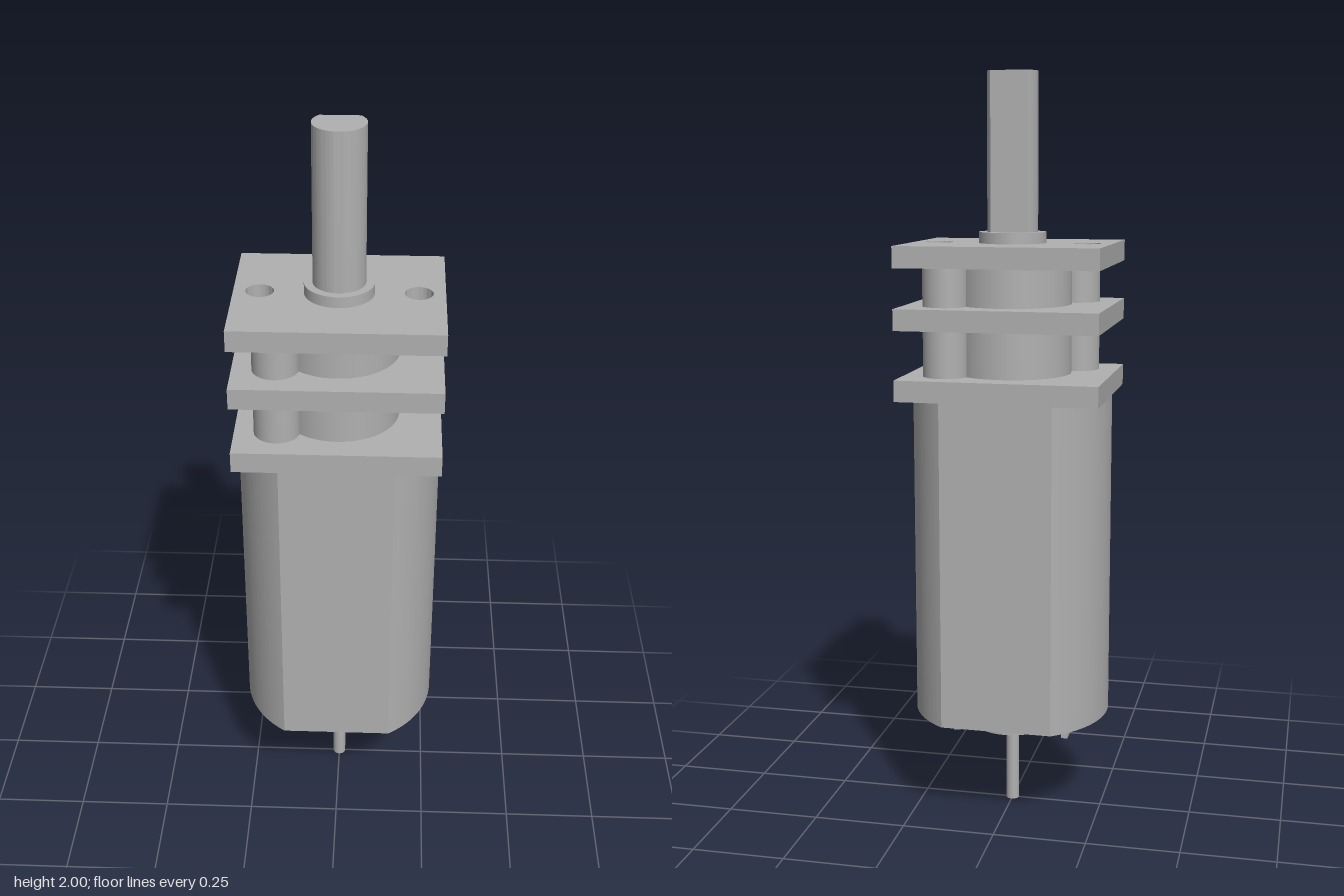
import * as THREE from 'three';
import { toCreasedNormals } from 'three/addons/utils/BufferGeometryUtils.js';

export function createModel() {
  const group = new THREE.Group();
  const metal = new THREE.MeshStandardMaterial({ color: 0xb0b0b0 });
  metal.name = 'grey metal';

  const add = (name, geometry, x = 0, y = 0, z = 0) => {
    const mesh = new THREE.Mesh(geometry, metal);
    mesh.name = name;
    mesh.position.set(x, y, z);
    group.add(mesh);
  };
  // Upright cylinder between two heights
  const cylinder = (name, r, y0, y1, x = 0, z = 0) =>
    add(name, new THREE.CylinderGeometry(r, r, y1 - y0, 64), x, (y0 + y1) / 2, z);
  // Plan outline extruded upwards (shape y becomes -z)
  const extrude = (name, shape, y0, y1) => {
    const g = new THREE.ExtrudeGeometry(shape, { depth: y1 - y0, bevelEnabled: false, curveSegments: 48 });
    g.rotateX(-Math.PI / 2);
    add(name, toCreasedNormals(g, 0.4), 0, y0);
  };

  // Round motor can with flats at front and back
  const canRadius = 0.267, canFlat = 0.222;
  const a = Math.asin(canFlat / canRadius);
  const can = new THREE.Shape();
  can.absarc(0, 0, canRadius, -a, a, false);
  can.absarc(0, 0, canRadius, Math.PI - a, Math.PI + a, false);
  can.closePath();
  extrude('motorCan', can, 0.28, 1.16);

  // Rear bearing, rear shaft and terminals
  cylinder('rearBearing', 0.11, 0.227, 0.28);
  cylinder('rearShaft', 0.018, 0, 0.227);
  for (const side of [-1, 1]) {
    add(side > 0 ? 'leftTerminal' : 'rightTerminal',
      new THREE.BoxGeometry(0.018, 0.08, 0.067), side * 0.153, 0.24, 0);
  }

  // Gearbox plates; only the top one has mounting holes
  const w = 0.267, d = 0.222;
  add('lowerPlate', new THREE.BoxGeometry(2 * w, 0.056, 2 * d), 0, 1.188, 0);
  add('middlePlate', new THREE.BoxGeometry(2 * w, 0.056, 2 * d), 0, 1.372, 0);
  const plate = new THREE.Shape([[-w, -d], [w, -d], [w, d], [-w, d]].map(p => new THREE.Vector2(...p)));
  for (const x of [-0.2, 0.2]) {
    plate.holes.push(new THREE.Path().absarc(x, 0, 0.036, 0, Math.PI * 2, true));
  }
  extrude('topPlate', plate, 1.504, 1.56);

  // Gears and diagonal spacer posts between the plates
  for (const [y0, y1] of [[1.216, 1.344], [1.4, 1.504]]) {
    cylinder('gear', 0.157, y0, y1);
    cylinder('frontPost', 0.06, y0, y1, -0.156, 0.111);
    cylinder('backPost', 0.06, y0, y1, 0.156, -0.111);
  }

  // Output bearing and D-shaped shaft, flat towards the back
  cylinder('outputBearing', 0.089, 1.56, 1.589);
  const b = Math.asin(0.045 / 0.067);
  const dShape = new THREE.Shape();
  dShape.absarc(0, 0, 0.067, Math.PI - b, Math.PI * 2 + b, false);
  dShape.closePath();
  extrude('outputShaft', dShape, 1.589, 2);

  return group;
}
